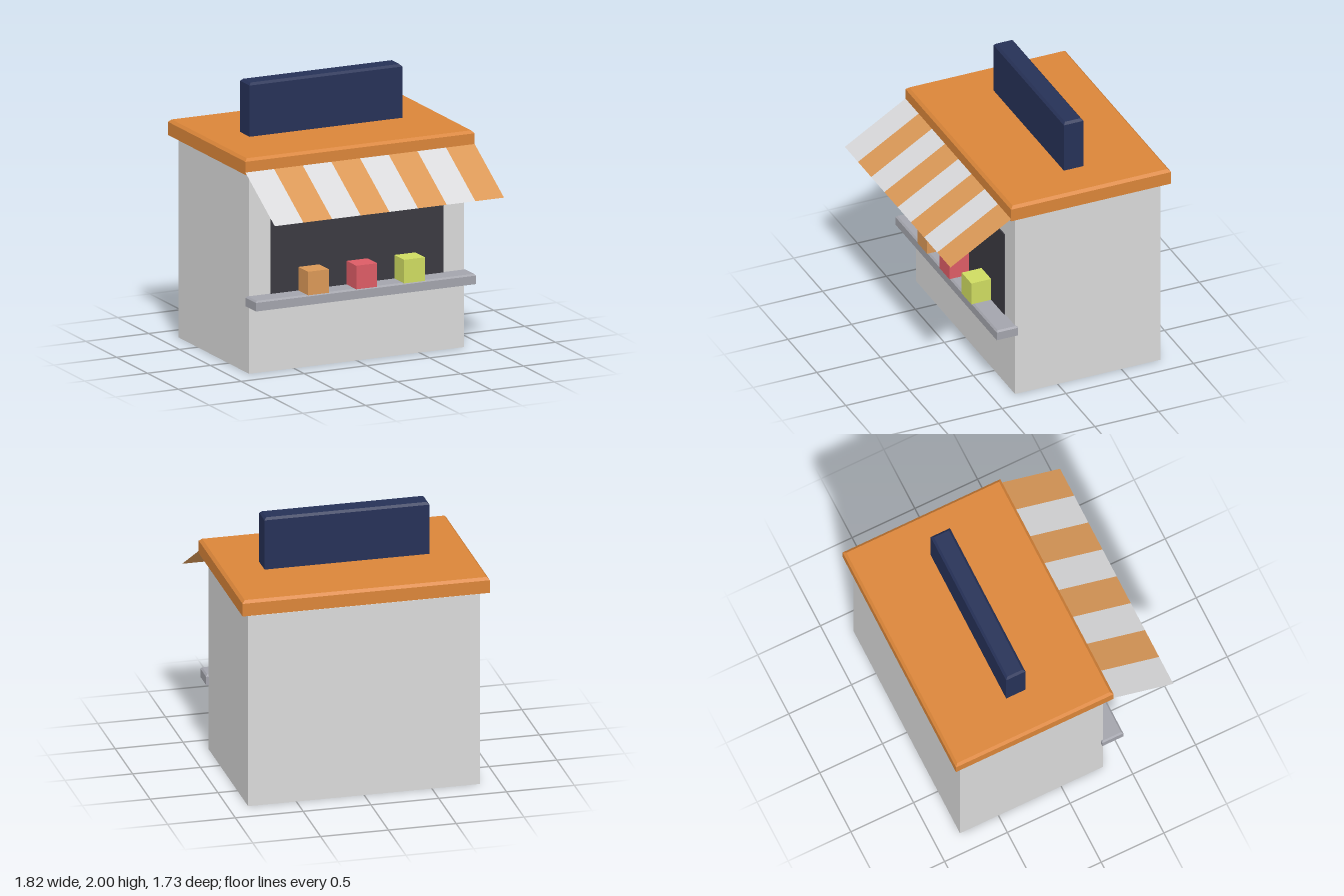
import * as THREE from 'three';

const paint = (name, color, side = THREE.FrontSide) => {
  const m = new THREE.MeshStandardMaterial({ color, side });
  m.name = name;
  return m;
};

// Box from min to max corner whose top edges are chamfered by `bevel`
function chamferedBox(min, max, bevel = 0) {
  const [w, h, d] = max.map((v, i) => v - min[i]);
  let geo = new THREE.BoxGeometry(w, h, d, 1, bevel ? 2 : 1, 1);
  if (bevel) {
    const p = geo.attributes.position;
    for (let i = 0; i < p.count; i++) {
      const y = p.getY(i);
      if (Math.abs(y) < 1e-6) p.setY(i, h / 2 - bevel);
      else if (y > 0) {
        p.setX(i, p.getX(i) - Math.sign(p.getX(i)) * bevel);
        p.setZ(i, p.getZ(i) - Math.sign(p.getZ(i)) * bevel);
      }
    }
    geo = geo.toNonIndexed();
    geo.computeVertexNormals();
  }
  geo.translate(...min.map((v, i) => (v + max[i]) / 2));
  return geo;
}

export function createModel() {
  const white = paint('white wall', 0xd9d9d9);
  const orange = paint('roof orange', 0xda8539);
  const navy = paint('sign navy', 0x263157);
  const dark = paint('window dark', 0x3b3a41);
  const grey = paint('counter grey', 0xa3a4ac);
  const red = paint('red', 0xdc5c65);
  const lime = paint('lime', 0xcedb61);
  const amber = paint('amber', 0xda9857);
  const clothWhite = paint('awning white', 0xd9d9db, THREE.DoubleSide);
  const clothOrange = paint('awning orange', 0xda9857, THREE.DoubleSide);

  const group = new THREE.Group();
  group.name = 'marketKiosk';
  const add = (name, geo, mat, parent = group) => {
    const mesh = new THREE.Mesh(geo, mat);
    mesh.name = name;
    parent.add(mesh);
    return mesh;
  };

  // Building
  add('body', chamferedBox([-0.856, 0, -0.806], [0.856, 1.488, 0.334], 0.026), white);
  add('roof', chamferedBox([-0.912, 1.488, -0.866], [0.912, 1.605, 0.39], 0.02), orange);
  add('signBoard', chamferedBox([-0.608, 1.6, -0.315], [0.608, 2, -0.162], 0.017), navy);
  add('servingWindow', chamferedBox([-0.686, 0.55, 0.334], [0.686, 1.24, 0.343]), dark);
  add('counter', chamferedBox([-0.876, 0.498, 0.318], [0.876, 0.573, 0.486], 0.012), grey);

  // Goods on the counter
  [[-0.384, amber], [0, red], [0.38, lime]].forEach(([x, mat], i) =>
    add('goods' + (i + 1),
      chamferedBox([x - 0.083, 0.573, 0.334], [x + 0.083, 0.747, 0.498]), mat));

  // Striped awning: a thin sloping sheet
  const awning = new THREE.Group();
  awning.name = 'awning';
  group.add(awning);
  const drop = 0.287, reach = 0.481, stripes = 8, width = 1.824 / stripes;
  for (let i = 0; i < stripes; i++) {
    const stripe = add('awningStripe' + (i + 1),
      new THREE.PlaneGeometry(width, Math.hypot(drop, reach)),
      i % 2 ? clothOrange : clothWhite, awning);
    stripe.position.x = -0.912 + width * (i + 0.5);
  }
  awning.position.set(0, 1.509 - drop / 2, 0.385 + reach / 2);
  awning.rotation.x = -Math.atan2(reach, drop);

  return group;
}
